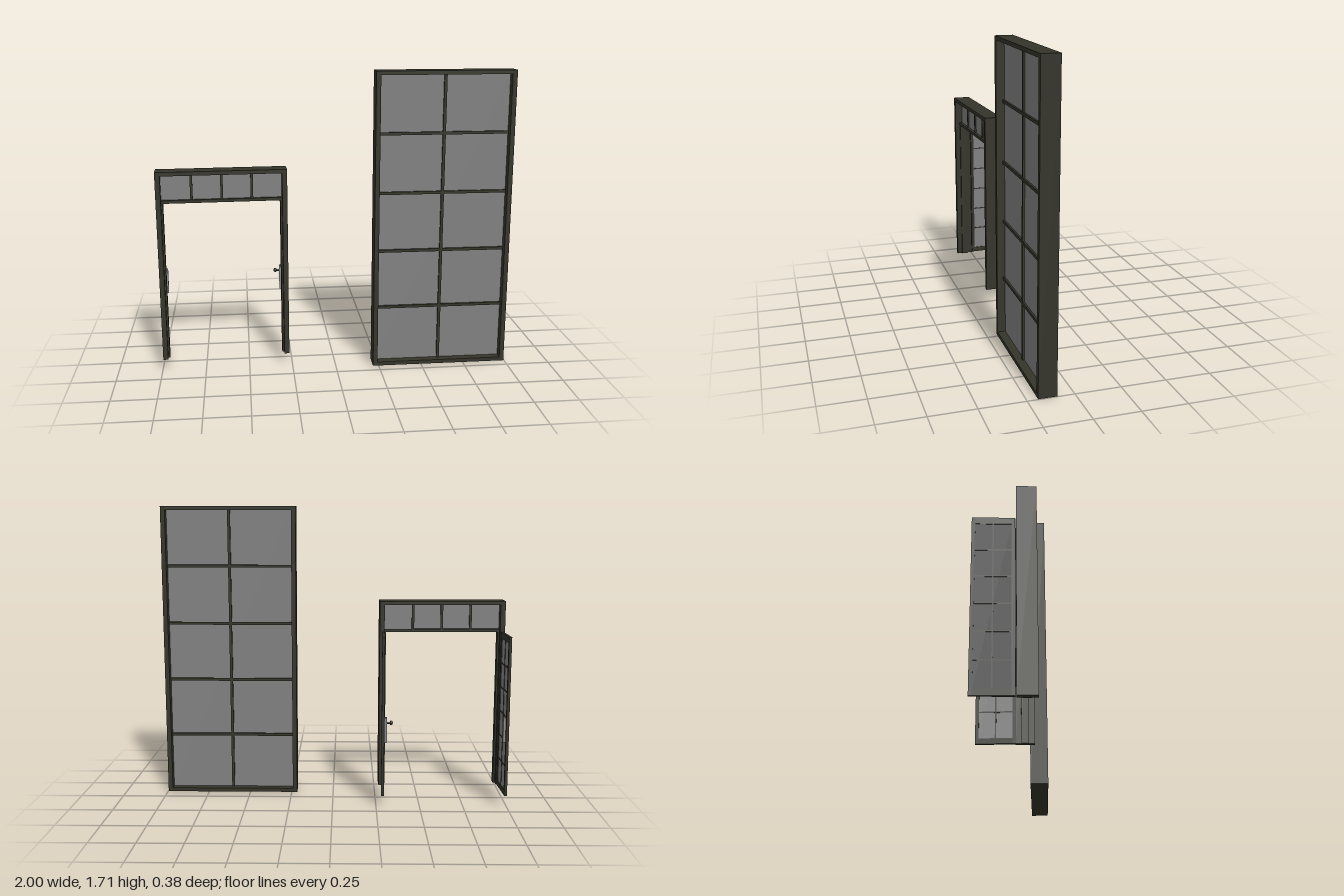
import * as THREE from 'three';

const mat = (name, color, opts = {}) => {
  const m = new THREE.MeshStandardMaterial({ color, ...opts });
  m.name = name;
  return m;
};

export function createModel() {
  const frameMat = mat('dark bronze frame', 0x34342a);
  const glassMat = mat('grey glass', 0x808080);
  const blackMat = mat('black glass', 0x0b0b0b);
  const plateMat = mat('handle plate metal', 0x8a8a8a);

  // Box given by its extents on each axis
  const box = (parent, name, m, [x0, x1], [y0, y1], [z0, z1]) => {
    const mesh = new THREE.Mesh(new THREE.BoxGeometry(x1 - x0, y1 - y0, z1 - z0), m);
    mesh.position.set((x0 + x1) / 2, (y0 + y1) / 2, (z0 + z1) / 2);
    mesh.name = name;
    parent.add(mesh);
    return mesh;
  };

  // Evenly spaced bars dividing an opening into columns and rows
  const bars = (parent, [x0, x1], [y0, y1], cols, rows, t, depth) => {
    for (let i = 1; i < cols; i++) {
      const x = x0 + ((x1 - x0) * i) / cols;
      box(parent, 'verticalBar', frameMat, [x - t / 2, x + t / 2], [y0, y1], [-depth / 2, depth / 2]);
    }
    for (let i = 1; i < rows; i++) {
      const y = y0 + ((y1 - y0) * i) / rows;
      box(parent, 'horizontalBar', frameMat, [x0, x1], [y - t / 2, y + t / 2], [-depth / 2, depth / 2]);
    }
  };

  const model = new THREE.Group();
  model.name = 'doorAndWindow';

  // Tall window
  const win = new THREE.Group();
  win.name = 'window';
  win.position.set(0.607, 0, 0.141);
  win.rotation.y = -0.004;
  model.add(win);
  const W = 0.39, H = 1.706, D = 0.05, B = 0.026;
  for (const s of [-1, 1]) {
    const edge = [s * W, s * (W - B)].sort((a, b) => a - b);
    box(win, 'windowSide', frameMat, edge, [0, H], [-D, D]);
  }
  box(win, 'windowSill', frameMat, [-W + B, W - B], [0, 0.022], [-D, D]);
  box(win, 'windowHead', frameMat, [-W + B, W - B], [H - 0.022, H], [-D, D]);
  box(win, 'windowGlass', glassMat, [-W + B, W - B], [0.022, H - 0.022], [-0.004, 0.004]);
  bars(win, [-W + B, W - B], [0.01, H - 0.01], 2, 5, 0.016, 0.03);

  // Door frame with a glazed transom
  const door = new THREE.Group();
  door.name = 'doorFrame';
  door.position.set(-0.632, 0, 0.078);
  door.rotation.y = 0.03;
  model.add(door);
  const w = 0.363, base = 0.07, top = 1.165;
  for (const s of [-1, 1]) {
    const span = (a, b) => [s * a, s * b].sort((p, q) => p - q);
    box(door, 'jamb', frameMat, span(w, w - 0.028), [base, top], [-D, D]);
    box(door, 'doorStop', frameMat, span(w - 0.028, w - 0.038), [base, 0.985], [-0.02, 0.02]);
  }
  const inner = [-w + 0.028, w - 0.028];
  box(door, 'doorHead', frameMat, inner, [top - 0.022, top], [-D, D]);
  box(door, 'transomBar', frameMat, inner, [0.983, 1.0], [-0.022, 0.022]);
  box(door, 'transomGlass', glassMat, inner, [1.0, top - 0.022], [-0.004, 0.004]);
  bars(door, inner, [1.0, top - 0.022], 4, 1, 0.014, 0.026);

  // Open door leaf: local +x runs from hinge to free edge, inside faces s * z
  const leaf = (name, x, z, angle, s, lever) => {
    const g = new THREE.Group();
    g.name = name;
    g.position.set(x, 0, z);
    g.rotation.y = angle;
    model.add(g);
    const L = 0.21, t = 0.008, y0 = base, y1 = 0.987;
    const toward = (a, b) => [s * a, s * b].sort((p, q) => p - q);
    box(g, 'hingeStile', frameMat, [0, 0.018], [y0, y1], [-t, t]);
    box(g, 'freeStile', frameMat, [L - 0.018, L], [y0, y1], [-t, t]);
    box(g, 'bottomRail', frameMat, [0.018, L - 0.018], [y0, y0 + 0.03], [-t, t]);
    box(g, 'topRail', frameMat, [0.018, L - 0.018], [y1 - 0.035, y1], [-t, t]);
    const pane = [[0.018, L - 0.018], [y0 + 0.03, y1 - 0.035]];
    box(g, 'insideGlass', glassMat, ...pane, toward(0, 0.004));
    box(g, 'outsideGlass', blackMat, ...pane, toward(-0.004, 0));
    bars(g, ...pane, 2, 6, 0.007, 0.012);
    // Handle plate on the inside
    box(g, 'handlePlate', plateMat, [L - 0.042, L - 0.014], [0.38, 0.524], toward(t, t + 0.014));
    if (lever) {
      const stem = new THREE.Mesh(new THREE.CylinderGeometry(0.006, 0.006, 0.03, 12), frameMat);
      stem.name = 'knobStem';
      stem.rotation.x = Math.PI / 2;
      stem.position.set(L - 0.028, 0.493, s * 0.034);
      const knob = new THREE.Mesh(new THREE.SphereGeometry(0.013, 16, 12), frameMat);
      knob.name = 'knob';
      knob.scale.z = 0.7;
      knob.position.set(L - 0.028, 0.493, s * 0.046);
      g.add(stem, knob);
    }
  };
  leaf('rightDoorLeaf', -0.981, 0.034, Math.PI / 2 + 0.045, 1, false);
  leaf('leftDoorLeaf', -0.294, 0.02, Math.PI / 2 - 0.04, -1, true);

  return model;
}
